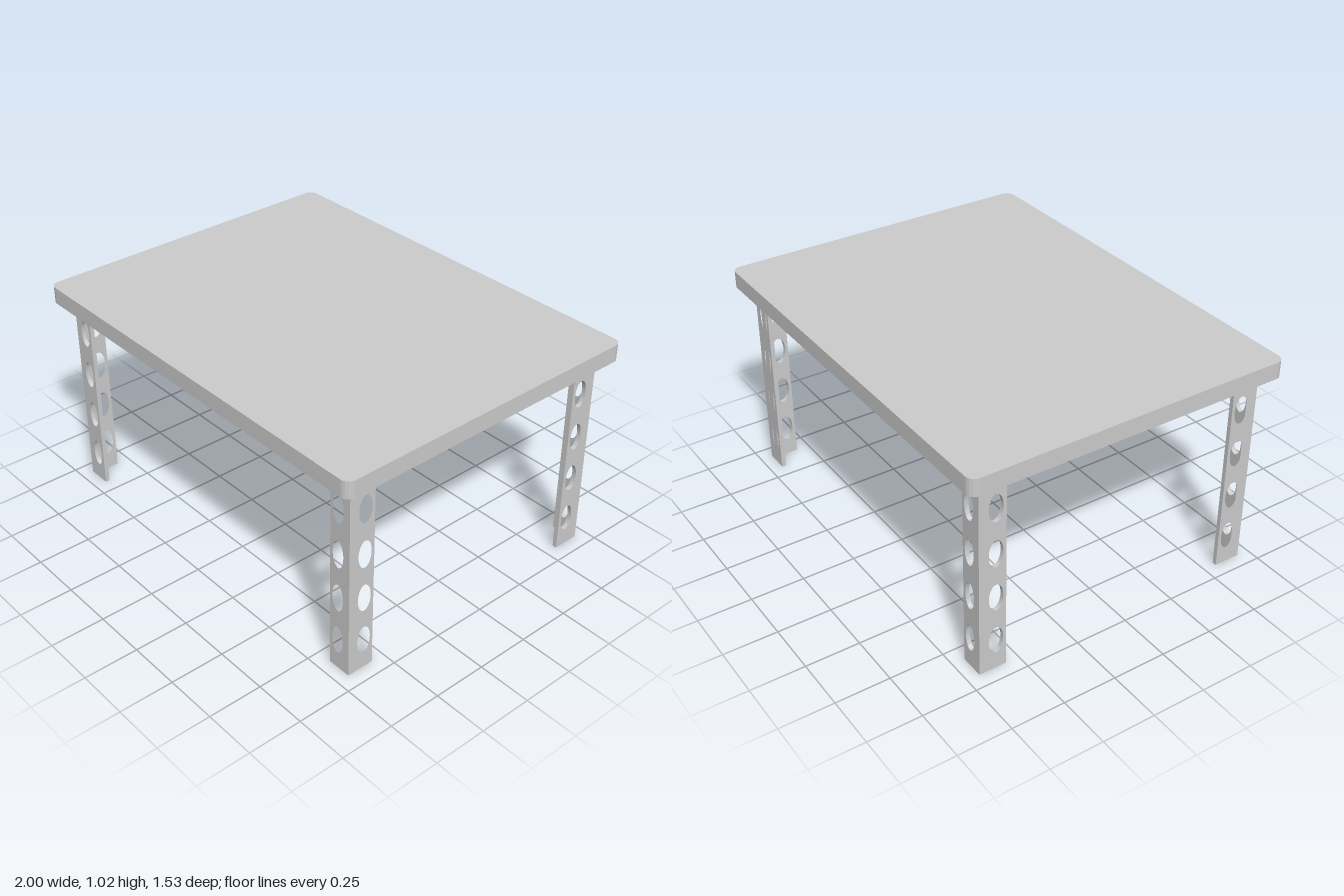
import * as THREE from 'three';
import { toCreasedNormals } from 'three/addons/utils/BufferGeometryUtils.js';

const material = new THREE.MeshStandardMaterial({ color: 0xcccccc });
const LEG_H = 0.945, LEG_X = 0.933, LEG_Z = 0.691, T = 0.02;
const HOLE_Y = [0.147, 0.365, 0.583, 0.80];

function extrude(shape, depth) {
  const g = new THREE.ExtrudeGeometry(shape, { depth, bevelEnabled: false, curveSegments: 24 });
  return g;
}

function part(name, geometry) {
  const mesh = new THREE.Mesh(toCreasedNormals(geometry, 0.6), material);
  mesh.name = name;
  return mesh;
}

// Upright strip between u0 and u1 with a column of oval holes
function flange(u0, u1, holeU, holeR) {
  const s = new THREE.Shape();
  s.moveTo(u0, 0).lineTo(u1, 0).lineTo(u1, LEG_H).lineTo(u0, LEG_H).closePath();
  for (const y of HOLE_Y) {
    s.holes.push(new THREE.Path().absellipse(holeU, y, holeR, 0.066, 0, Math.PI * 2, true));
  }
  return extrude(s, T);
}

// Angle-iron leg for the corner with signs sx, sz
function makeLeg(sx, sz) {
  const leg = new THREE.Group();
  const front = flange(sx * LEG_X, sx * 0.821, sx * 0.866, 0.031);
  front.translate(0, 0, sz > 0 ? LEG_Z - T : -LEG_Z);
  leg.add(part('legEndFlange', front));

  const side = flange(sz * (LEG_Z - T), sz * 0.563, sz * 0.611, 0.034);
  side.rotateY(-Math.PI / 2).translate(sx > 0 ? LEG_X : -LEG_X + T, 0, 0);
  leg.add(part('legSideFlange', side));

  // Small fillet in the inner corner
  const r = 0.012, x = sx * (LEG_X - T), z = sz * (LEG_Z - T);
  const s = new THREE.Shape();
  s.moveTo(x, z).lineTo(x - sx * r, z);
  s.quadraticCurveTo(x - sx * r * 0.2, z - sz * r * 0.2, x, z - sz * r);
  s.closePath();
  leg.add(part('legFillet', extrude(s, LEG_H).rotateX(Math.PI / 2).translate(0, LEG_H, 0)));
  return leg;
}

// Slab with rounded corners
function makeTop() {
  const w = 1, d = 0.766, r = 0.042, h = 0.08;
  const s = new THREE.Shape();
  s.absarc(w - r, d - r, r, 0, Math.PI / 2);
  s.absarc(-w + r, d - r, r, Math.PI / 2, Math.PI);
  s.absarc(-w + r, -d + r, r, Math.PI, Math.PI * 1.5);
  s.absarc(w - r, -d + r, r, Math.PI * 1.5, Math.PI * 2);
  return part('tableTop', extrude(s, h).rotateX(Math.PI / 2).translate(0, LEG_H + h, 0));
}

export function createModel() {
  const table = new THREE.Group();
  table.name = 'table';
  table.add(makeTop());
  for (const sx of [-1, 1]) for (const sz of [-1, 1]) {
    const leg = makeLeg(sx, sz);
    leg.name = (sz > 0 ? 'front' : 'back') + (sx > 0 ? 'Left' : 'Right') + 'Leg';
    table.add(leg);
  }
  return table;
}
